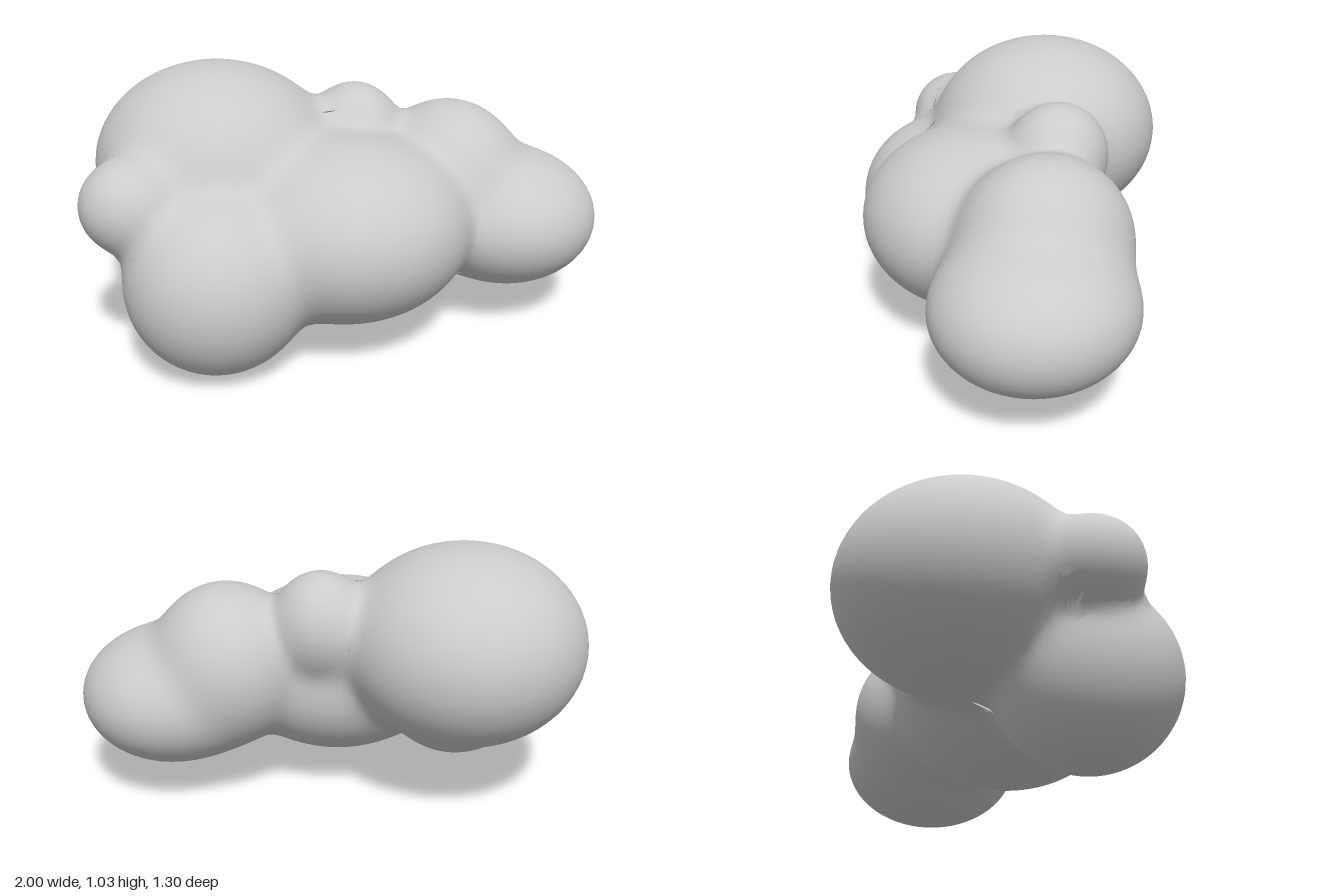
import * as THREE from 'three';

// Cloud puffs: name, centre, radii
const PUFFS = [
  ['bigBackPuff', [-0.43, 0.65, -0.19], [0.46, 0.38, 0.463]],
  ['frontCentrePuff', [-0.035, 0.465, 0.21], [0.46, 0.342, 0.435]],
  ['lowerRightPuff', [-0.55, 0.34, 0.24], [0.335, 0.335, 0.335]],
  ['smallSidePuff', [-0.82, 0.62, 0.11], [0.18, 0.17, 0.18]],
  ['smallTopPuff', [0.1, 0.73, -0.08], [0.18, 0.2, 0.19]],
  ['leftMiddlePuff', [0.44, 0.55, 0.07], [0.29, 0.312, 0.315]],
  ['leftEndPuff', [0.64, 0.41, 0.17], [0.36, 0.265, 0.365]],
].map(([name, c, r]) => ({ name, c: new THREE.Vector3(...c), r: new THREE.Vector3(...r) }));

const BLEND = 0.034; // softness of the creases between puffs
const DEEP = -0.1; // vertices buried deeper than this stay inside

// Approximate signed distance to one ellipsoid
function puffDistance(p, { c, r }) {
  const q = p.clone().sub(c).divide(r);
  const k0 = q.length();
  const k1 = q.divide(r).length();
  return k1 < 1e-6 ? -Math.min(r.x, r.y, r.z) : (k0 * (k0 - 1)) / k1;
}

// Smooth union of all puffs
function cloud(p) {
  let sum = 0;
  for (const puff of PUFFS) sum += Math.exp(-puffDistance(p, puff) / BLEND);
  return -BLEND * Math.log(sum);
}

function gradient(p) {
  const e = 0.002;
  const g = ['x', 'y', 'z'].map((axis) => {
    const a = p.clone(), b = p.clone();
    a[axis] += e;
    b[axis] -= e;
    return (cloud(a) - cloud(b)) / (2 * e);
  });
  return new THREE.Vector3(...g);
}

// An ellipsoid whose skin is drawn out to the blended cloud surface
function puffGeometry({ c, r }) {
  const geo = new THREE.SphereGeometry(1, 64, 44);
  geo.scale(r.x, r.y, r.z).translate(c.x, c.y, c.z);
  const pos = geo.attributes.position;
  const p = new THREE.Vector3();
  for (let i = 0; i < pos.count; i++) {
    p.fromBufferAttribute(pos, i);
    if (cloud(p) > DEEP) {
      for (let step = 0; step < 6; step++) {
        const g = gradient(p);
        p.addScaledVector(g, -cloud(p) / Math.max(g.lengthSq(), 0.2));
      }
    }
    pos.setXYZ(i, p.x, p.y, p.z);
    const n = gradient(p).normalize();
    geo.attributes.normal.setXYZ(i, n.x, n.y, n.z);
  }
  return geo;
}

export function createModel() {
  const group = new THREE.Group();
  group.name = 'cloud';
  const material = new THREE.MeshStandardMaterial({ color: 0xcccccc });
  for (const puff of PUFFS) {
    const mesh = new THREE.Mesh(puffGeometry(puff), material);
    mesh.name = puff.name;
    group.add(mesh);
  }
  return group;
}
